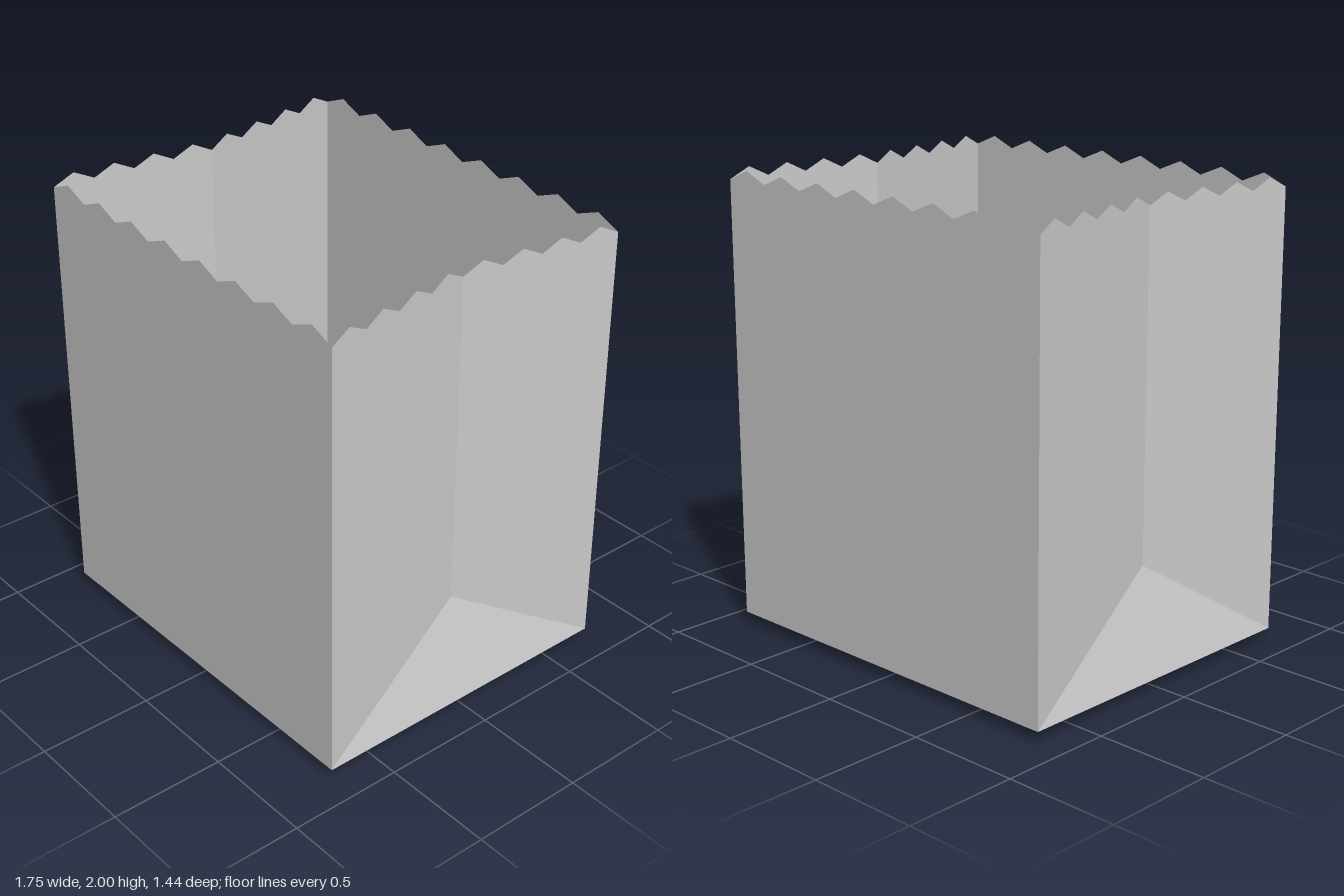
import * as THREE from 'three';

const W = 0.875, D = 0.72;            // half width and half depth
const BASE = 0.05, VALLEY = 1.955, PEAK = 2;
const FOLD_X = 0.77, FOLD_Y = 0.5;    // gusset crease: inset and lowest point

const paper = new THREE.MeshStandardMaterial({
  color: 0xcccccc, flatShading: true, side: THREE.DoubleSide,
});

// Flat sheet: a 2D outline placed in space by a rule (u, v) -> [x, y, z]
function sheet(name, outline, place) {
  const shape = new THREE.Shape(outline.map(([u, v]) => new THREE.Vector2(u, v)));
  const geo = new THREE.ShapeGeometry(shape);
  const pos = geo.attributes.position;
  for (let i = 0; i < pos.count; i++) {
    pos.setXYZ(i, ...place(pos.getX(i), pos.getY(i)));
  }
  geo.computeVertexNormals();
  const mesh = new THREE.Mesh(geo, paper);
  mesh.name = name;
  return mesh;
}

// Saw-cut edge running from u = a to u = b
function sawEdge(a, b, teeth) {
  return Array.from({ length: teeth * 2 + 1 }, (_, i) =>
    [a + (b - a) * i / (teeth * 2), i % 2 ? PEAK : VALLEY]);
}

// Side wall folded inward along a vertical crease, with a sloping foot
function gusset(name, side) {
  const group = new THREE.Group();
  group.name = name;
  for (const s of [1, -1]) {
    group.add(sheet('gussetPanel',
      [[0, FOLD_Y], [s * D, BASE], ...sawEdge(s * D, 0, 4)],
      (z, y) => [side * (FOLD_X + (W - FOLD_X) * Math.abs(z) / D), y, z]));
  }
  group.add(sheet('gussetFoot', [[-D, BASE], [D, BASE], [0, FOLD_Y]],
    (z, y) => [side * (W - (W - FOLD_X) * (y - BASE) / (FOLD_Y - BASE)), y, z]));
  return group;
}

// Tapered bottom flap hinged on a long edge; u is x, v the reach from the hinge
function flap(name, side, reach, drop) {
  return sheet(name, [[-W, 0], [W, 0], [0.22, reach], [-0.22, reach]],
    (x, v) => [x, BASE - drop * v / reach, side * (D - v)]);
}

export function createModel() {
  const bag = new THREE.Group();
  bag.name = 'paperBag';

  // Front and back walls
  for (const [name, z] of [['frontWall', D], ['backWall', -D]]) {
    bag.add(sheet(name, [[-W, BASE], [W, BASE], ...sawEdge(W, -W, 8)],
      (x, y) => [z < 0 ? -x : x, y, z]));
  }

  // Folded side walls
  bag.add(gusset('leftGusset', 1), gusset('rightGusset', -1));

  // Floor and the two overlapping flaps below it
  bag.add(sheet('floor', [[-W, -D], [W, -D], [W, D], [-W, D]], (x, v) => [x, BASE, -v]));
  bag.add(flap('innerBottomFlap', 1, 0.69, 0.023));
  bag.add(flap('outerBottomFlap', -1, 0.91, 0.05));

  return bag;
}
